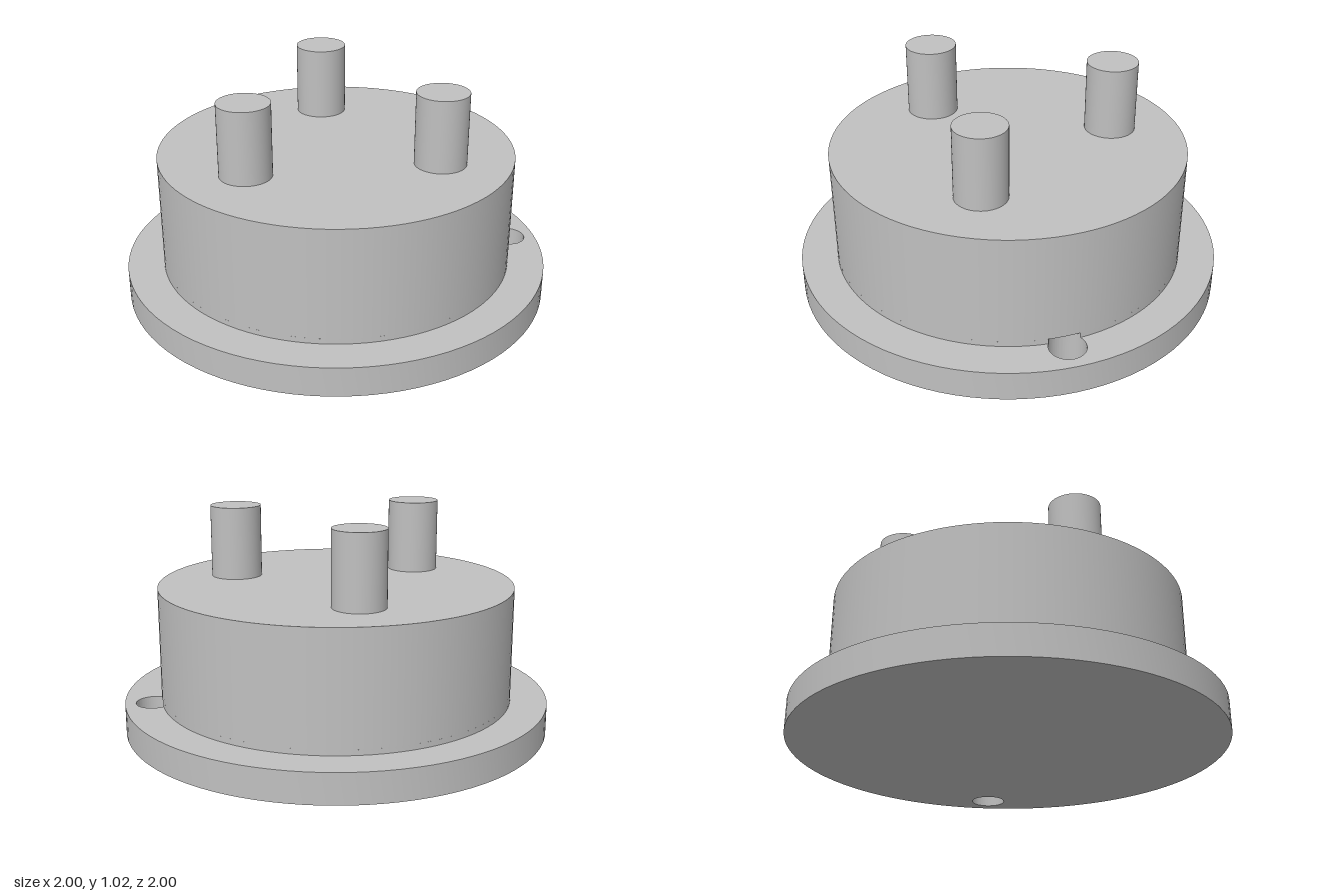
import * as THREE from 'three';
import { toCreasedNormals } from 'three/addons/utils/BufferGeometryUtils.js';

const FLANGE_R = 1, FLANGE_TOP = 0.14;
const BODY_R = 0.83, BODY_TOP = 0.68;
const HOLE_X = 0.867, HOLE_R = 0.083, HOLE_TOP = 0.165;
const PIN_R = 0.12, PIN_TOP = 1.02, PIN_CIRCLE = 0.507;

export function createModel() {
  const group = new THREE.Group();
  const metal = new THREE.MeshStandardMaterial({ color: 0xc0c0c0 });
  metal.name = 'grey metal';

  const add = (name, geometry, x = 0, y = 0, z = 0) => {
    const mesh = new THREE.Mesh(geometry, metal);
    mesh.name = name;
    mesh.position.set(x, y, z);
    group.add(mesh);
  };

  // Flat outline raised along y, with smooth curved walls and sharp rims
  const slab = (shape, height) => {
    const geometry = new THREE.ExtrudeGeometry(shape, { depth: height, bevelEnabled: false, curveSegments: 48 });
    geometry.rotateX(-Math.PI / 2);
    return toCreasedNormals(geometry, Math.PI / 6);
  };

  // Base flange with a round through hole beside the body
  const flange = new THREE.Shape().absarc(0, 0, FLANGE_R, 0, Math.PI * 2, false);
  flange.holes.push(new THREE.Path().absarc(HOLE_X, 0, HOLE_R, 0, Math.PI * 2, true));
  add('flange', slab(flange, FLANGE_TOP));

  // Foot of the body, where the hole bites a shallow notch into its wall
  const cx = (BODY_R ** 2 - HOLE_R ** 2 + HOLE_X ** 2) / (2 * HOLE_X);
  const cz = Math.sqrt(BODY_R ** 2 - cx ** 2);
  const a = Math.atan2(cz, cx);
  const b = Math.atan2(cz, cx - HOLE_X);
  const foot = new THREE.Shape();
  foot.absarc(0, 0, BODY_R, a, Math.PI * 2 - a, false);
  foot.absarc(HOLE_X, 0, HOLE_R, Math.PI * 2 - b, b, true);
  add('bodyFoot', slab(foot, HOLE_TOP - FLANGE_TOP), 0, FLANGE_TOP);

  // Main drum
  const bodyHeight = BODY_TOP - HOLE_TOP;
  add('body', new THREE.CylinderGeometry(BODY_R, BODY_R, bodyHeight, 96), 0, HOLE_TOP + bodyHeight / 2);

  // Three pins, evenly spaced, one at the back
  const pinHeight = PIN_TOP - BODY_TOP;
  const pin = new THREE.CylinderGeometry(PIN_R, PIN_R, pinHeight, 48);
  ['backPin', 'rightPin', 'leftPin'].forEach((name, i) => {
    const t = -Math.PI / 2 - (i * Math.PI * 2) / 3;
    add(name, pin, PIN_CIRCLE * Math.cos(t), BODY_TOP + pinHeight / 2, PIN_CIRCLE * Math.sin(t));
  });

  return group;
}
